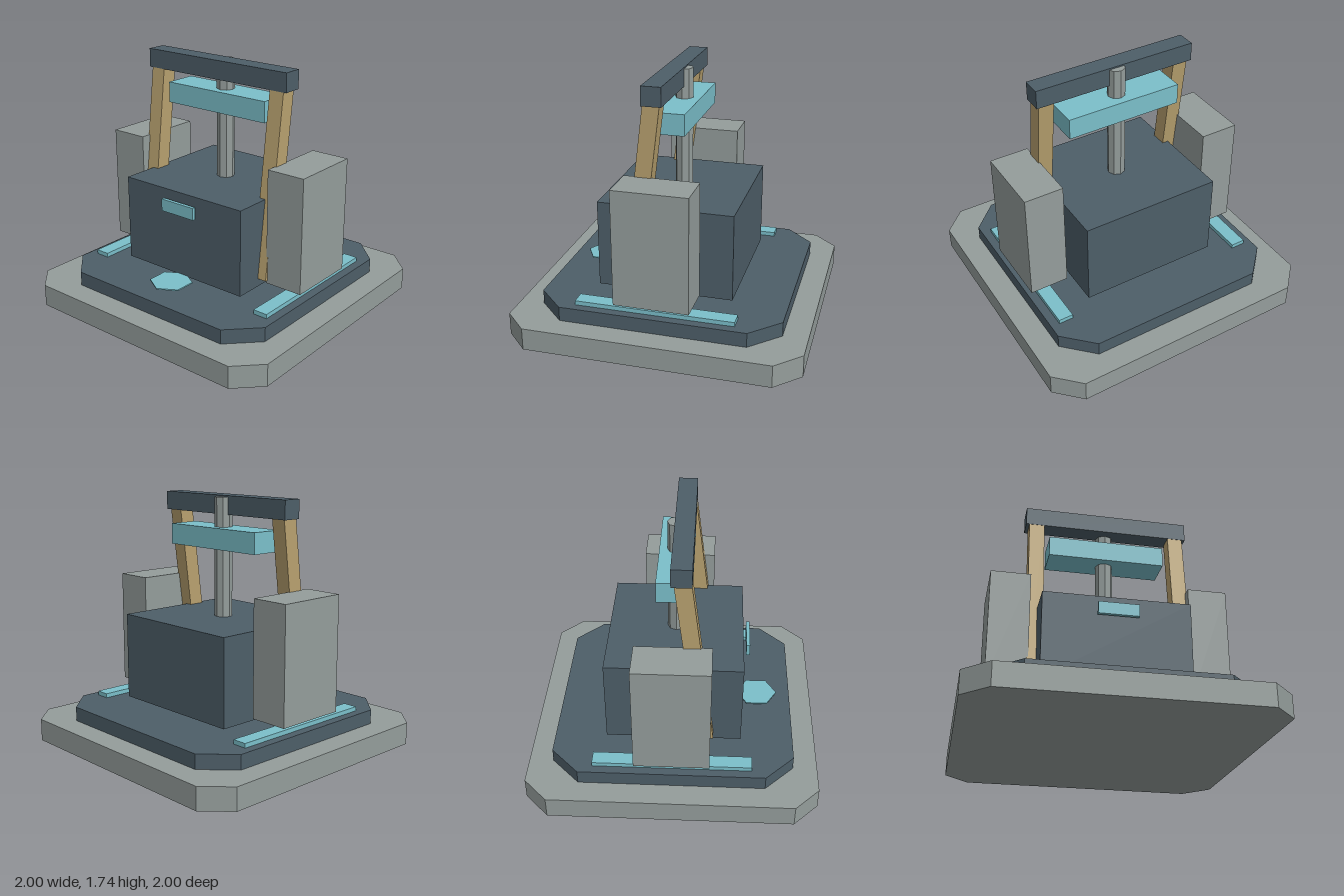
import * as THREE from 'three';

const mat = (name, color) => {
  const m = new THREE.MeshStandardMaterial({ color });
  m.name = name;
  return m;
};

export function createModel() {
  const grey = mat('concreteGrey', 0x949d9b);
  const slate = mat('slateBlue', 0x4d5e68);
  const tan = mat('tan', 0xb8a16f);
  const cyan = mat('paleCyan', 0x7bbfca);
  const model = new THREE.Group();
  model.name = 'machine';

  const add = (name, geometry, material, x = 0, y = 0, z = 0) => {
    const mesh = new THREE.Mesh(geometry, material);
    mesh.name = name;
    mesh.position.set(x, y, z);
    model.add(mesh);
    return mesh;
  };

  // box given by its lower and upper limits on each axis
  const box = (name, material, [x0, x1], [y0, y1], [z0, z1]) =>
    add(name, new THREE.BoxGeometry(x1 - x0, y1 - y0, z1 - z0), material,
      (x0 + x1) / 2, (y0 + y1) / 2, (z0 + z1) / 2);

  // flat-sided prism standing on y0
  const prism = (name, material, r, sides, y0, y1, z = 0) => {
    const g = new THREE.CylinderGeometry(r, r, y1 - y0, sides).toNonIndexed();
    g.computeVertexNormals();
    return add(name, g, material, 0, (y0 + y1) / 2, z);
  };

  // square slab with cut corners; h = half size, c = where the cut begins
  const slab = (name, material, h, c, y0, y1) => {
    const pts = [[c, -h], [h, -c], [h, c], [c, h], [-c, h], [-h, c], [-h, -c], [-c, -h]];
    const g = new THREE.ExtrudeGeometry(
      new THREE.Shape(pts.map(p => new THREE.Vector2(...p))),
      { depth: y1 - y0, bevelEnabled: false });
    g.rotateX(-Math.PI / 2);
    return add(name, g, material, 0, y0, 0);
  };

  // stepped platform
  slab('base', grey, 1, 0.832, 0, 0.155);
  slab('deck', slate, 0.832, 0.635, 0.155, 0.255);

  // central housing with its thin foot, nameplate and floor marker
  box('housing', slate, [-0.5, 0.5], [0.29, 0.895], [-0.467, 0.467]);
  prism('housingFoot', slate, 0.38, 8, 0.283, 0.29);
  box('frontPlate', cyan, [-0.138, 0.138], [0.75, 0.835], [0.49, 0.515]);
  prism('floorMarker', cyan, 0.146, 6, 0.286, 0.295, 0.587);

  // central column and cross block
  prism('column', grey, 0.062, 8, 0.89, 1.725);
  box('crossBlock', cyan, [-0.415, 0.415], [1.375, 1.52], [-0.115, 0.115]);

  // top beam carried by the leaning posts
  box('topBeam', slate, [-0.587, 0.587], [1.605, 1.735], [-0.012, 0.122]);

  for (const s of [1, -1]) {
    const side = s > 0 ? 'left' : 'right';
    add(side + 'Tower', new THREE.BoxGeometry(0.275, 0.8, 0.51), grey, s * 0.69, 0.725, 0);
    add(side + 'Rail', new THREE.BoxGeometry(0.103, 0.03, 1.085), cyan, s * 0.72, 0.27, 0);
    const post = add(side + 'Post', new THREE.BoxGeometry(0.108, 1.32, 0.112), tan,
      s * 0.51, 0.995, 0.139);
    post.rotation.x = -0.124;
  }
  return model;
}
